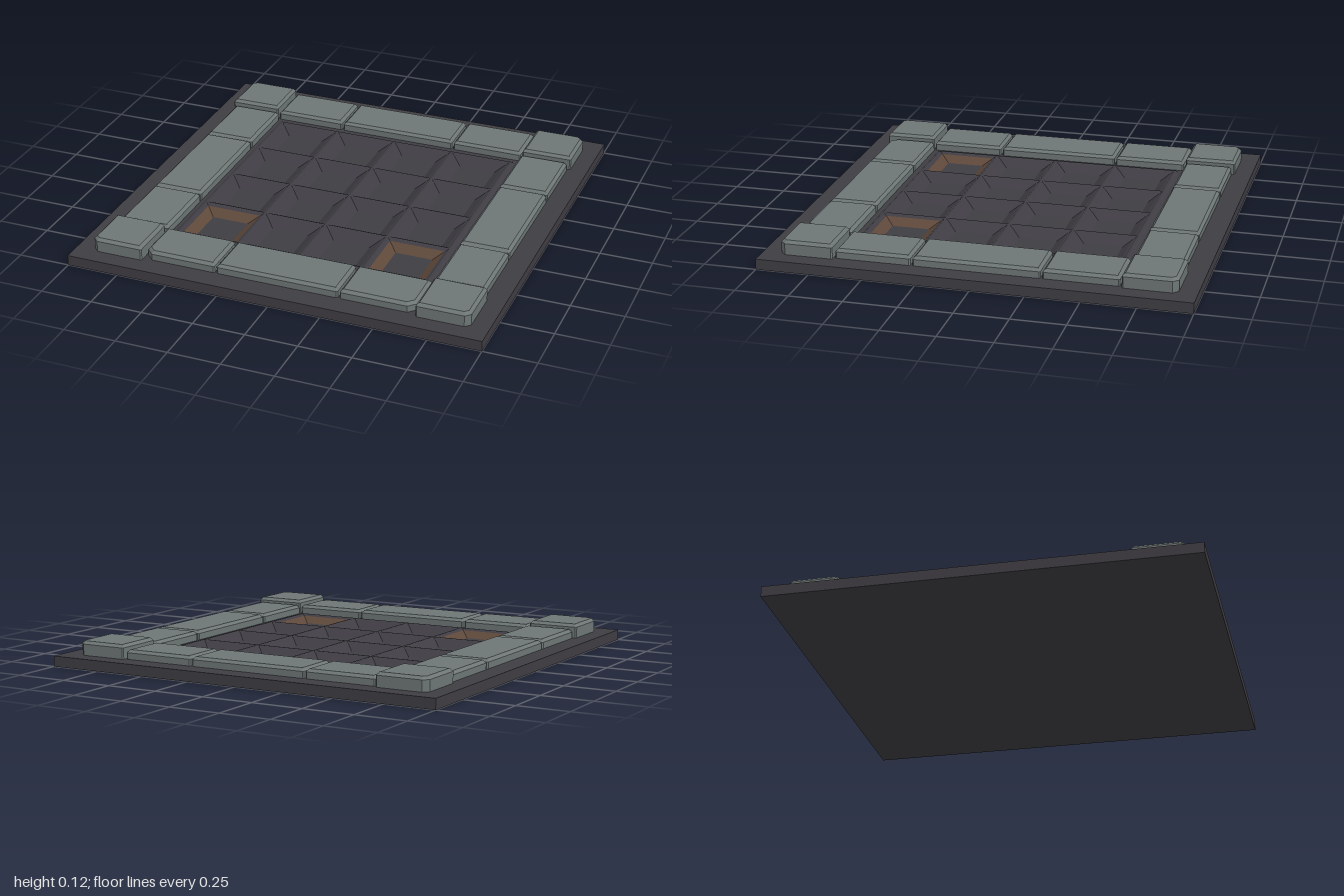
import * as THREE from 'three';

export function createModel() {
  const group = new THREE.Group();
  const mat = (name, color, side = THREE.FrontSide) => {
    const m = new THREE.MeshStandardMaterial({ color, side });
    m.name = name;
    return m;
  };
  const stone = mat('grey stone', 0x6e7676);
  const slate = mat('dark slate', 0x3f3d43, THREE.DoubleSide);
  const rust = mat('rust brown', 0x5e483a, THREE.DoubleSide);

  const add = (name, geometry, material, x = 0, y = 0, z = 0) => {
    const mesh = new THREE.Mesh(geometry, material);
    mesh.name = name;
    mesh.position.set(x, y, z);
    group.add(mesh);
    return mesh;
  };

  const TOP = 0.05, FLOOR = 0.02, PITCH = 0.31, OPEN = 0.27, PIT = 0.18;
  const cells = [-1.5, -0.5, 0.5, 1.5].map(i => i * PITCH);

  // Slab: solid bottom plus an upper layer pierced by the pits
  add('slabBottom', new THREE.BoxGeometry(2, FLOOR, 2), slate, 0, FLOOR / 2, 0);
  const square = (Type, cx, cy, s) => {
    const h = s / 2, p = new Type();
    p.moveTo(cx - h, cy - h).lineTo(cx + h, cy - h).lineTo(cx + h, cy + h).lineTo(cx - h, cy + h).closePath();
    return p;
  };
  const plan = square(THREE.Shape, 0, 0, 2);
  for (const x of cells) for (const z of cells) plan.holes.push(square(THREE.Path, x, z, OPEN));
  const layer = new THREE.ExtrudeGeometry(plan, { depth: TOP - FLOOR, bevelEnabled: false }).rotateX(-Math.PI / 2);
  add('slabTop', layer, slate, 0, FLOOR, 0);

  // Sloping pit walls, rusty in the two front corners
  const walls = new THREE.CylinderGeometry(OPEN / Math.SQRT2, PIT / Math.SQRT2, TOP - FLOOR, 4, 1, true)
    .rotateY(Math.PI / 4).toNonIndexed();
  walls.computeVertexNormals();
  cells.forEach((x, i) => cells.forEach((z, j) => {
    const corner = j === 3 && (i === 0 || i === 3);
    add('pitWalls', walls, corner ? rust : slate, x, (TOP + FLOOR) / 2, z);
  }));

  // Low ridges between the pits
  const ridgeShape = new THREE.Shape();
  ridgeShape.moveTo(-0.017, 0).lineTo(0.017, 0).lineTo(0.005, 0.008).lineTo(-0.005, 0.008).closePath();
  const ridge = new THREE.ExtrudeGeometry(ridgeShape, { depth: 1.25, bevelEnabled: false }).translate(0, 0, -0.625);
  for (let i = -2; i <= 2; i++) {
    add('ridge', ridge, slate, i * PITCH, TOP, 0);
    add('ridge', ridge, slate, 0, TOP, i * PITCH).rotation.y = Math.PI / 2;
  }

  // Bevelled block; cuts clip the plan corners: back-left, back-right, front-right, front-left as seen from above
  const block = (name, x0, x1, z0, z1, top, cuts = [0.006, 0.006, 0.006, 0.006]) => {
    const b = 0.014, base = 0.03, [p, q, r, s] = cuts;
    const shape = new THREE.Shape([
      [x0, -z0 - p], [x0 + p, -z0], [x1 - q, -z0], [x1, -z0 - q],
      [x1, -z1 + r], [x1 - r, -z1], [x0 + s, -z1], [x0, -z1 + s],
    ].map(c => new THREE.Vector2(...c)).reverse());
    const g = new THREE.ExtrudeGeometry(shape, {
      depth: top - base - 2 * b, bevelThickness: b, bevelSize: b, bevelOffset: -b, bevelSegments: 1,
    }).translate(0, 0, base + b).rotateX(-Math.PI / 2);
    add(name, g, stone);
  };

  // Taller corner stones
  for (const sx of [-1, 1]) for (const sz of [-1, 1]) {
    const cuts = [[-1, -1], [1, -1], [1, 1], [-1, 1]].map(([a, b]) => (a === sx && b === sz ? 0.025 : 0.006));
    const [x0, x1] = sx < 0 ? [-0.915, -0.665] : [0.665, 0.915];
    const [z0, z1] = sz < 0 ? [-0.915, -0.665] : [0.665, 0.915];
    block('cornerStone', x0, x1, z0, z1, 0.117, cuts);
  }

  // Three border stones along each edge
  const spans = [[-0.655, -0.307], [-0.297, 0.292], [0.302, 0.655]];
  spans.forEach(([a, b], i) => {
    block('backStone', a, b, -0.9, -0.665, 0.095);
    block('frontStone', a, b, 0.66, 0.895, 0.095, [0.006, 0.006, i === 2 ? 0.035 : 0.006, i === 0 ? 0.035 : 0.006]);
    block('rightStone', -0.9, -0.655, a, b, 0.095);
    block('leftStone', 0.66, 0.9, a, b, 0.095);
  });

  return group;
}
